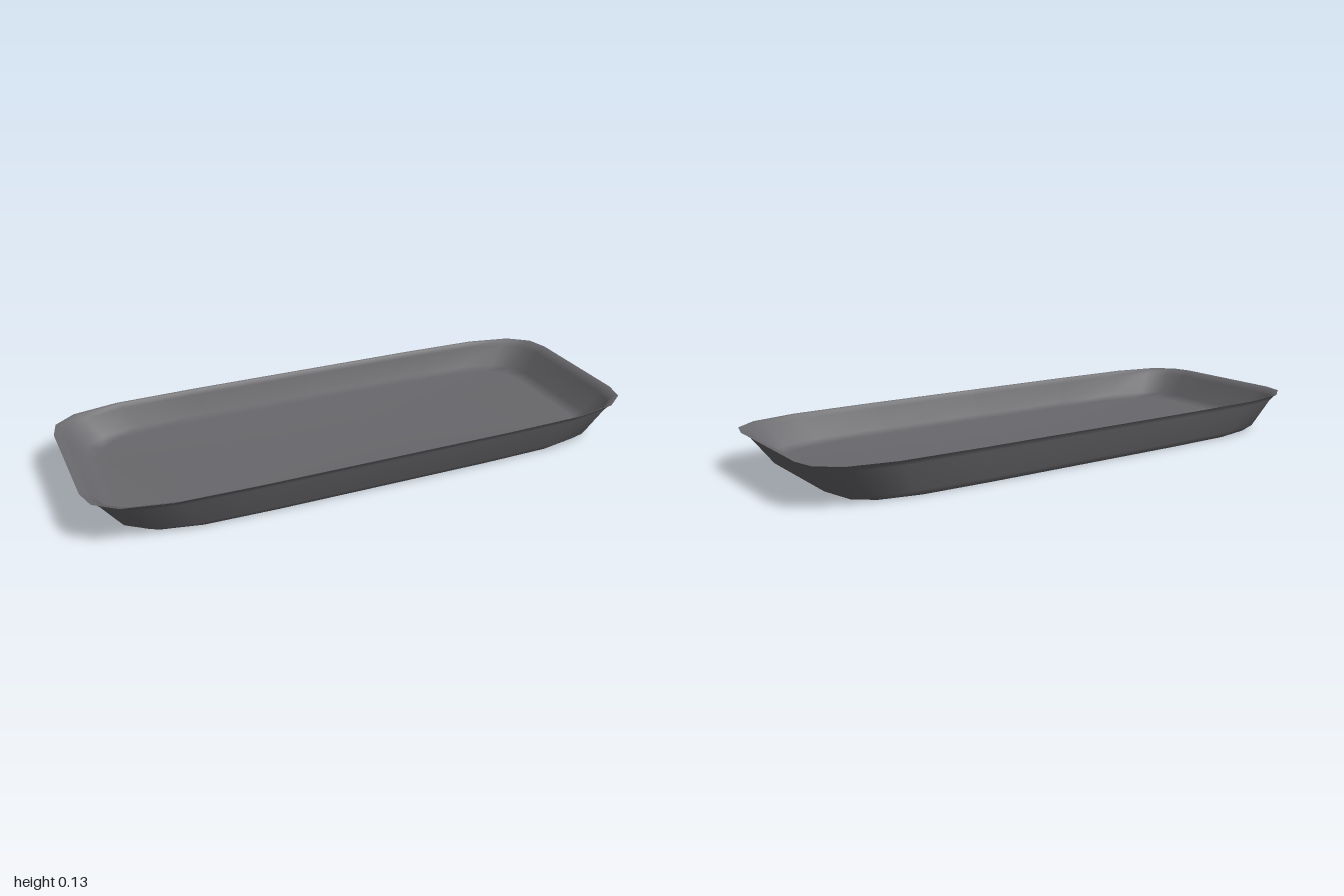
import * as THREE from 'three';

// One quarter of the rounded-rectangle rim, from the +x end to the +z side
const QUARTER = [[1, 0], [1, 0.22], [0.98, 0.3], [0.905, 0.36], [0.745, 0.393], [0.45, 0.4], [0, 0.4]];

// Mirror the quarter into a full closed loop
function outline() {
  const q = QUARTER;
  const half = [...q, ...q.slice(0, -1).reverse().map(([x, z]) => [-x, z])];
  return [...half, ...half.slice(1, -1).reverse().map(([x, z]) => [x, -z])];
}

// Skin scaled copies of the outline; profile rows are [scale, height].
// The first or last ring is closed with a fan to the centre.
function skin(profile, cap) {
  const loop = outline(), n = loop.length, pos = [], index = [];
  for (const [s, y] of profile) for (const [x, z] of loop) pos.push(x * s, y, z * s);
  for (let j = 0; j < profile.length - 1; j++) {
    for (let i = 0; i < n; i++) {
      const k = (i + 1) % n, a = j * n + i, b = j * n + k;
      index.push(a, a + n, b, b, a + n, b + n);
    }
  }
  const ring = cap === 'first' ? 0 : (profile.length - 1) * n;
  const centre = pos.length / 3;
  pos.push(0, profile[ring / n][1], 0);
  for (let i = 0; i < n; i++) {
    const a = ring + i, b = ring + (i + 1) % n;
    if (cap === 'first') index.push(centre, a, b);
    else index.push(centre, b, a);
  }
  const g = new THREE.BufferGeometry();
  g.setAttribute('position', new THREE.Float32BufferAttribute(pos, 3));
  g.setIndex(index);
  g.computeVertexNormals();
  return g;
}

export function createModel() {
  const group = new THREE.Group();
  group.name = 'tray';
  const material = new THREE.MeshStandardMaterial({ color: 0x68676b });
  const add = (name, geometry) => {
    const mesh = new THREE.Mesh(geometry, material);
    mesh.name = name;
    group.add(mesh);
  };

  // Underside, sloping outer wall and flared lip
  add('outerShell', skin([[0.86, 0], [0.9, 0.02], [0.972, 0.115], [0.985, 0.127], [1, 0.134]], 'first'));

  // Rim, inner wall and recessed floor
  add('innerDish', skin([[1, 0.134], [0.982, 0.131], [0.96, 0.115], [0.9, 0.042], [0.86, 0.025]], 'last'));

  return group;
}
